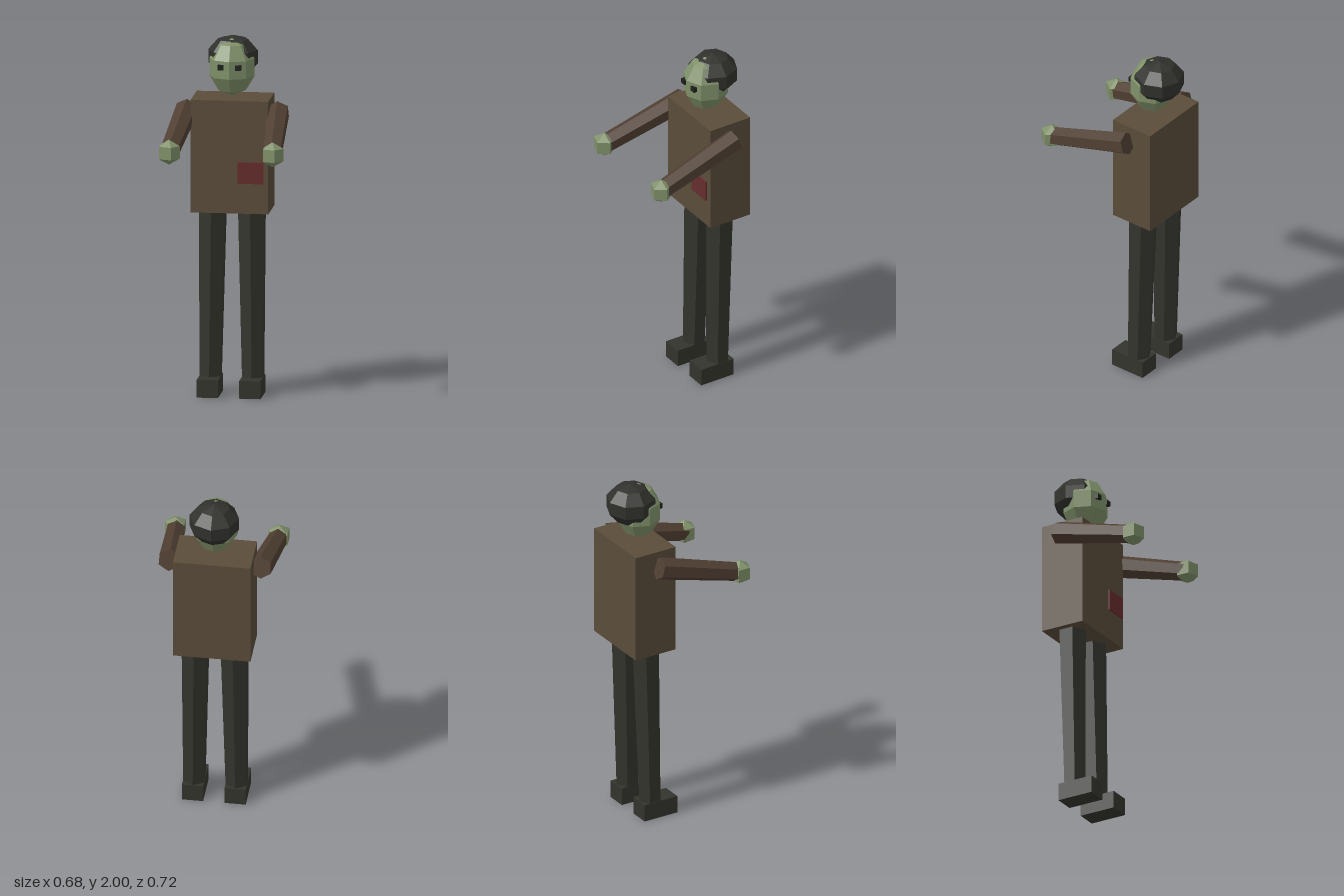
import * as THREE from 'three';

const mat = (name, color) => {
  const m = new THREE.MeshStandardMaterial({ color, flatShading: true });
  m.name = name;
  return m;
};

export function createModel() {
  const skin = mat('greenSkin', 0x7f9069);
  const shirt = mat('brownShirt', 0x5a4c3a);
  const sleeve = mat('darkBrownSleeve', 0x503f32);
  const trousers = mat('darkTrousers', 0x34342d);
  const hairDark = mat('darkHair', 0x30302c);
  const red = mat('redPatch', 0x662c2c);
  const eyeDark = mat('darkEye', 0x1e201c);

  const model = new THREE.Group();
  model.name = 'figure';
  const body = new THREE.Group();
  body.name = 'body';
  body.position.x = -0.006;
  model.add(body);

  const add = (name, geometry, material, x, y, z) => {
    const mesh = new THREE.Mesh(geometry, material);
    mesh.name = name;
    mesh.position.set(x, y, z);
    body.add(mesh);
    return mesh;
  };
  const box = (name, material, w, h, d, x, y, z) =>
    add(name, new THREE.BoxGeometry(w, h, d), material, x, y, z);

  // Tapered six-sided limb between two points
  const limb = (name, material, from, to, r0, r1) => {
    const a = new THREE.Vector3(...from), b = new THREE.Vector3(...to);
    const axis = a.clone().sub(b);
    const mid = a.clone().add(b).multiplyScalar(0.5);
    const mesh = add(name, new THREE.CylinderGeometry(r0, r1, axis.length(), 6), material, mid.x, mid.y, mid.z);
    mesh.quaternion.setFromUnitVectors(new THREE.Vector3(0, 1, 0), axis.normalize());
  };

  // Torso with a patch standing just off its front
  box('torso', shirt, 0.43, 0.63, 0.26, 0, 1.345, -0.2);
  box('patch', red, 0.143, 0.12, 0.009, 0.119, 1.26, -0.058);

  // Head and cap of hair
  const head = add('head', new THREE.SphereGeometry(0.131, 8, 5), skin, 0, 1.83, -0.18);
  head.scale.y = 0.16 / 0.131;
  const hair = add('hair', new THREE.SphereGeometry(0.144, 8, 5), hairDark, 0, 1.88, -0.225);
  hair.scale.y = 0.12 / 0.144;

  for (const [side, s] of [['left', 1], ['right', -1]]) {
    box(side + 'Eye', eyeDark, 0.033, 0.028, 0.02, s * 0.048, 1.846, -0.07);

    // Outstretched arm and hand
    limb(side + 'Arm', sleeve, [s * 0.253, 1.58, -0.202], [s * 0.285, 1.44, 0.295], 0.065, 0.054);
    const hand = add(side + 'Hand', new THREE.SphereGeometry(0.07, 5, 3), skin, s * 0.287, 1.44, 0.3);
    hand.rotation.y = Math.PI;

    // Leg and shoe
    limb(side + 'Leg', trousers, [s * 0.108, 1.05, -0.198], [s * 0.118, 0.06, -0.176], 0.083, 0.066);
    box(side + 'Shoe', trousers, 0.118, 0.1, 0.212, s * 0.118, 0.05, -0.141);
  }
  return model;
}
